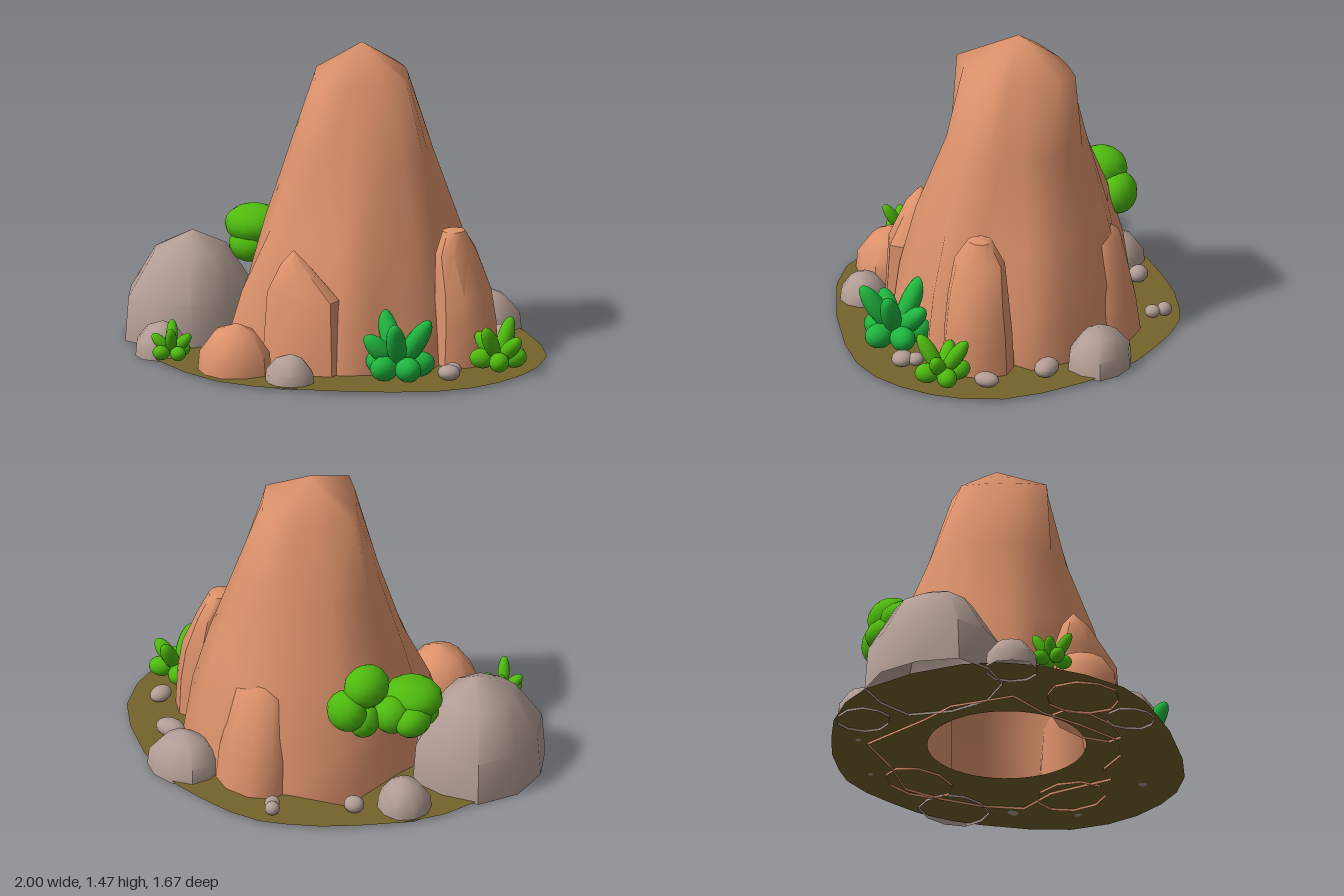
import * as THREE from 'three';
import { toCreasedNormals } from 'three/addons/utils/BufferGeometryUtils.js';

const paint = (name, color) => new THREE.MeshStandardMaterial({ name, color, side: THREE.DoubleSide });

// Skin over stacked rings of [x, y, z] points, closed by an apex
function loft(rings, apex, crease) {
  const n = rings[0].length, index = [];
  rings.forEach((ring, r) => {
    for (let i = 0; i < n; i++) {
      const j = (i + 1) % n, a = r * n + i, b = r * n + j;
      if (r < rings.length - 1) index.push(a, a + n, b, b, a + n, b + n);
      else index.push(a, rings.length * n, b);
    }
  });
  const geo = new THREE.BufferGeometry();
  geo.setAttribute('position', new THREE.Float32BufferAttribute([...rings.flat(2), ...apex], 3));
  geo.setIndex(index);
  geo.computeVertexNormals();
  return toCreasedNormals(geo, crease);
}

// Radius of a unit outline: point 1 is a diamond, 0 a circle, negative squarish
const outline = (a, point) => (Math.abs(Math.cos(a)) + Math.abs(Math.sin(a))) ** -point;

// Ring inside a rectangle: [y, x0, x1, z0, z1]
function oval([y, x0, x1, z0, z1], n, seed, wobble = 0, point = 0) {
  return Array.from({ length: n }, (_, i) => {
    const a = ((i + seed * 0.37) / n) * Math.PI * 2;
    const k = outline(a, point) * (1 + wobble * Math.sin(i * 2.4 + seed * 1.7));
    return [(x0 + x1) / 2 + (k * Math.cos(a) * (x1 - x0)) / 2, y, (z0 + z1) / 2 + (k * Math.sin(a) * (z1 - z0)) / 2];
  });
}

export function createModel() {
  const group = new THREE.Group();
  const clay = paint('terracotta', 0xdd926b);
  const stone = paint('grey stone', 0xb29d95);
  const soil = paint('soil', 0x75632a);
  const leafGreen = paint('leaf green', 0x4fba0f);
  const emerald = paint('emerald', 0x1fb53f);

  const add = (name, geo, mat, parent = group) => {
    const mesh = new THREE.Mesh(geo, mat);
    mesh.name = name;
    parent.add(mesh);
    return mesh;
  };

  // Ground sheet, open under the mountain
  const edge = [[-0.04, -0.84], [0.12, -0.83], [0.28, -0.81], [0.43, -0.76], [0.58, -0.68], [0.77, -0.54], [0.9, -0.4],
    [0.97, -0.23], [0.99, -0.07], [0.97, 0.1], [0.92, 0.24], [0.82, 0.38], [0.66, 0.51], [0.39, 0.67], [0.08, 0.8],
    [-0.11, 0.83], [-0.33, 0.79], [-0.55, 0.7], [-0.7, 0.58], [-0.8, 0.44], [-0.88, 0.2], [-0.9, -0.08],
    [-0.85, -0.25], [-0.74, -0.42], [-0.6, -0.56], [-0.46, -0.68], [-0.31, -0.77], [-0.2, -0.82]];
  const sheet = new THREE.Shape(edge.map(([x, z]) => new THREE.Vector2(x, -z)));
  sheet.holes.push(new THREE.Path().absarc(0, 0, 0.37, 0, Math.PI * 2, true));
  add('ground', new THREE.ShapeGeometry(sheet, 24).rotateX(-Math.PI / 2).translate(0, 0.012, 0), soil);

  // Mountain: a jagged foot (x, z, how fast it recedes) blending into a diamond shoulder
  const foot = [[0.55, -0.1], [0.6, 0.12], [0.49, 0.17], [0.43, 0.33], [0.3, 0.43], [0.055, 0.41], [-0.16, 0.37],
    [-0.39, 0.39, 1.8], [-0.5, 0.1], [-0.47, -0.1], [-0.45, -0.47], [-0.18, -0.56], [0.04, -0.67], [0.23, -0.62],
    [0.42, -0.53], [0.57, -0.4], [0.53, -0.2]];
  // Each level: height, share of the foot, x and z radius, pointedness
  const levels = [[0, 1, 0.26, 0.3, 0], [0.3, 0.86, 0.26, 0.3, 0], [0.58, 0.6, 0.28, 0.3, 0],
    [0.95, 0.04, 0.35, 0.322, 0.12], [1.305, 0, 0.258, 0.302, 0.65]];
  const body = levels.map(([y, t, rx, rz, point]) => foot.map(([x, z, recede = 1]) => {
    const a = Math.atan2(z + 0.1, x - 0.055), k = outline(a, point), s = t ** recede;
    const tx = 0.055 + k * rx * Math.cos(a), tz = -0.1 + k * rz * Math.sin(a);
    return [tx + (x - tx) * s, y, tz + (z - tz) * s];
  }));
  add('mountain', loft(body, [0.05, 1.465, -0.11], 1.6), clay);

  // Buttresses leaning on the mountain
  const buttress = (name, rings, apex, n, seed, crease) =>
    add(name, loft(rings.map((r) => oval(r, n, seed)), apex, crease), clay);
  buttress('frontButtress', [[0, -0.13, 0.3, 0.32, 0.53], [0.36, -0.11, 0.28, 0.32, 0.51],
    [0.5, -0.04, 0.1, 0.34, 0.465]], [0.02, 0.57, 0.4], 8, 1.35, 0.75);
  buttress('sideSpire', [[0, 0.47, 0.76, -0.32, 0.03], [0.2, 0.48, 0.75, -0.31, 0.02], [0.35, 0.48, 0.73, -0.29, 0.01],
    [0.53, 0.49, 0.65, -0.26, -0.01], [0.63, 0.505, 0.61, -0.19, -0.075]], [0.55, 0.645, -0.13], 9, 0.5, 0.75);
  buttress('backButtress', [[0, -0.16, 0.22, -0.7, -0.45], [0.18, -0.15, 0.21, -0.675, -0.45],
    [0.49, -0.1, 0.15, -0.605, -0.42]], [0.02, 0.57, -0.53], 9, 0.6, 1.3);

  // Boulders: [name, x0, x1, z0, z1, height, material, pointedness]
  [['largeBoulder', -0.99, -0.45, -0.12, 0.5, 0.5, stone, -0.36],
    ['frontLeftBoulder', -0.74, -0.48, 0.45, 0.7, 0.165, stone, 0],
    ['clayBoulder', -0.34, 0.02, 0.45, 0.79, 0.24, clay, 0],
    ['frontBoulder', 0.04, 0.28, 0.52, 0.74, 0.145, stone, 0],
    ['sideBoulder', -0.79, -0.53, -0.43, -0.18, 0.17, stone, 0],
    ['backBoulder', 0.19, 0.54, -0.8, -0.51, 0.2, stone, -0.1],
  ].forEach(([name, x0, x1, z0, z1, h, mat, point], s) => {
    const cx = (x0 + x1) / 2, cz = (z0 + z1) / 2;
    const rings = [[0, 0.99], [0.42, 0.94], [0.82, 0.55]].map(([y, k]) => oval([y * h,
      cx + (x0 - cx) * k, cx + (x1 - cx) * k, cz + (z0 - cz) * k, cz + (z1 - cz) * k], 10, s + 1, 0.03, point));
    add(name, loft(rings, [cx + 0.03 * (x1 - x0), h, cz], 0.8), mat);
  });

  // Ellipsoid blobs: [x, y, z, rx, ry, rz]
  const ball = new THREE.SphereGeometry(1, 14, 10);
  const blob = (name, [x, y, z, rx, ry, rz], mat, parent) => {
    const m = add(name, ball, mat, parent);
    m.position.set(x, y, z);
    m.scale.set(rx, ry, rz);
  };
  [[-0.5, 0.05, -0.48, 0.05, 0.04, 0.045], [-0.215, 0.045, -0.735, 0.035, 0.033, 0.035],
    [-0.18, 0.04, -0.69, 0.035, 0.03, 0.038], [0.58, 0.05, -0.48, 0.075, 0.042, 0.055],
    [0.8, 0.045, -0.27, 0.045, 0.035, 0.06], [0.73, 0.045, 0.12, 0.042, 0.03, 0.038],
    [0.75, 0.045, 0.18, 0.055, 0.036, 0.05]].forEach((b) => blob('pebble', b, stone));

  // Rounded bush on the slope
  const bush = new THREE.Group();
  bush.name = 'slopeBush';
  group.add(bush);
  [[-0.45, 0.6, -0.32, 0.1, 0.1, 0.12], [-0.41, 0.5, -0.42, 0.1, 0.1, 0.085], [-0.56, 0.48, -0.11, 0.145, 0.095, 0.135],
    [-0.63, 0.42, -0.2, 0.08, 0.075, 0.1], [-0.54, 0.44, -0.24, 0.09, 0.09, 0.09],
    [-0.56, 0.39, -0.06, 0.1, 0.08, 0.08], [-0.46, 0.43, -0.35, 0.07, 0.08, 0.08]]
    .forEach((b) => blob('bushLobe', b, leafGreen, bush));

  // Plants: a low whorl of plump leaves around upright ones
  const up = new THREE.Vector3(0, 1, 0);
  const plant = (name, x, z, reach, height, count, turn, mat) => {
    const p = new THREE.Group();
    p.name = name;
    p.position.set(x, 0.06, z);
    group.add(p);
    // A leaf runs from one distance to another along its direction
    const leaf = (a, tilt, from, to, width) => {
      const dir = new THREE.Vector3(Math.cos(a) * Math.cos(tilt), Math.sin(tilt), Math.sin(a) * Math.cos(tilt));
      const m = add('leaf', ball, mat, p);
      m.position.copy(dir).multiplyScalar((from + to) / 2);
      m.quaternion.setFromUnitVectors(up, dir);
      m.scale.set(width, (to - from) / 2, width);
    };
    for (let i = 0; i < count; i++) {
      const a = turn + (i * Math.PI * 2) / count;
      leaf(a, 0.18, reach * 0.15, reach, reach * 0.35);
      leaf(a + 0.6, i % 2 ? 0.8 : 1.0, height * 0.1, height * (i % 2 ? 0.85 : 1.1), reach * 0.28);
    }
  };
  plant('emeraldPlant', 0.55, 0.3, 0.17, 0.27, 5, 0.5, emerald);
  plant('sidePlant', 0.855, -0.07, 0.135, 0.2, 4, 0.9, leafGreen);
  plant('frontPlant', -0.465, 0.7, 0.1, 0.15, 4, 0.4, leafGreen);

  return group;
}
